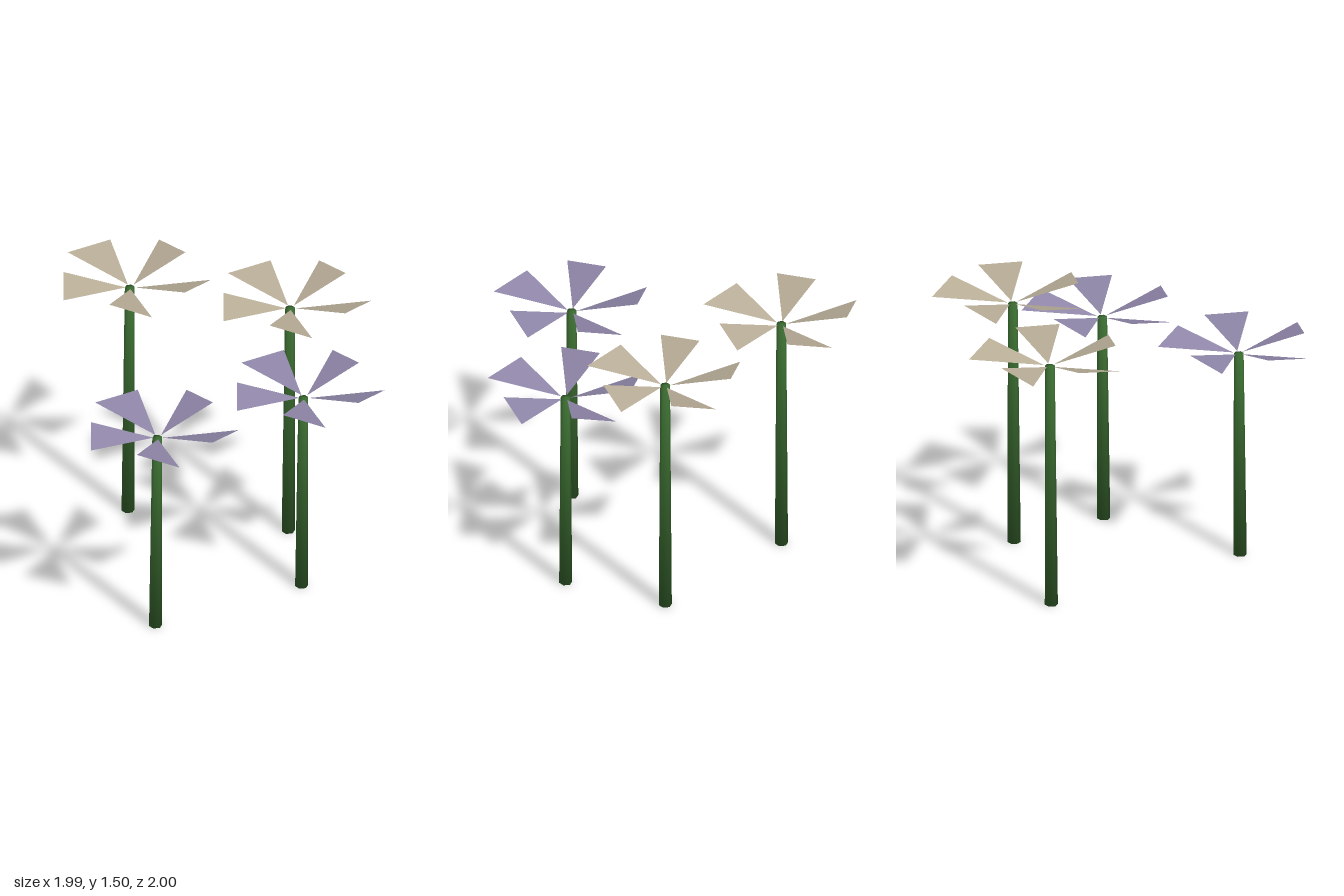
import * as THREE from 'three';
import { mergeVertices } from 'three/addons/utils/BufferGeometryUtils.js';

const stemGreen = new THREE.MeshStandardMaterial({ color: 0x3a6b30 });
const petalCream = new THREE.MeshStandardMaterial({ color: 0xb9ae98, side: THREE.DoubleSide });
const petalPurple = new THREE.MeshStandardMaterial({ color: 0x9087a9, side: THREE.DoubleSide });
stemGreen.name = 'stem green';
petalCream.name = 'petal cream';
petalPurple.name = 'petal purple';

// Tapered six-sided stem, leaning slightly, with normals rounded over both ends
function stemGeometry(height) {
  let geo = new THREE.CylinderGeometry(0.027, 0.036, height, 6);
  geo.deleteAttribute('uv');
  geo.deleteAttribute('normal');
  geo = mergeVertices(geo);
  const pos = geo.attributes.position;
  const normals = new Float32Array(pos.count * 3);
  const n = new THREE.Vector3();
  for (let i = 0; i < pos.count; i++) {
    const x = pos.getX(i), z = pos.getZ(i);
    const top = pos.getY(i) > 0;
    n.set(x, 0, z).normalize();
    n.y = top ? 0.6 : -0.7;
    n.normalize().toArray(normals, i * 3);
    const lean = top ? 0.004 : 0.011;
    pos.setXYZ(i, x - lean, top ? height : 0, z + lean);
  }
  geo.setAttribute('normal', new THREE.BufferAttribute(normals, 3));
  return geo;
}

// Point at a clockwise angle (degrees) from the back, at a radius and height
function polar(angle, radius, y) {
  const a = THREE.MathUtils.degToRad(angle);
  return [Math.sin(a) * radius, y, -Math.cos(a) * radius];
}

// One triangular petal: inner point, raised corner, longer low corner
function petalGeometry() {
  const geo = new THREE.BufferGeometry();
  geo.setAttribute('position', new THREE.Float32BufferAttribute([
    ...polar(18, 0.026, 0),
    ...polar(35, 0.366, 0.092),
    ...polar(1.2, 0.438, 0.056),
  ], 3));
  geo.computeVertexNormals();
  return geo;
}

function flower(name, x, z, height, material) {
  const group = new THREE.Group();
  group.name = name;
  group.position.set(x, 0, z);

  const stem = new THREE.Mesh(stemGeometry(height), stemGreen);
  stem.name = 'stem';
  group.add(stem);

  // Five petals around the stem top
  const geo = petalGeometry();
  for (let i = 0; i < 5; i++) {
    const petal = new THREE.Mesh(geo, material);
    petal.name = 'petal' + (i + 1);
    petal.position.y = height;
    petal.rotation.y = -i * Math.PI * 2 / 5;
    group.add(petal);
  }
  return group;
}

export function createModel() {
  const model = new THREE.Group();
  model.name = 'flowers';
  model.add(
    flower('tallFlowerRight', -0.583, -0.482, 1.405, petalCream),
    flower('tallFlowerLeft', 0.312, -0.562, 1.405, petalCream),
    flower('shortFlowerLeft', 0.575, -0.035, 1.185, petalPurple),
    flower('shortFlowerFront', -0.032, 0.63, 1.185, petalPurple),
  );
  return model;
}
